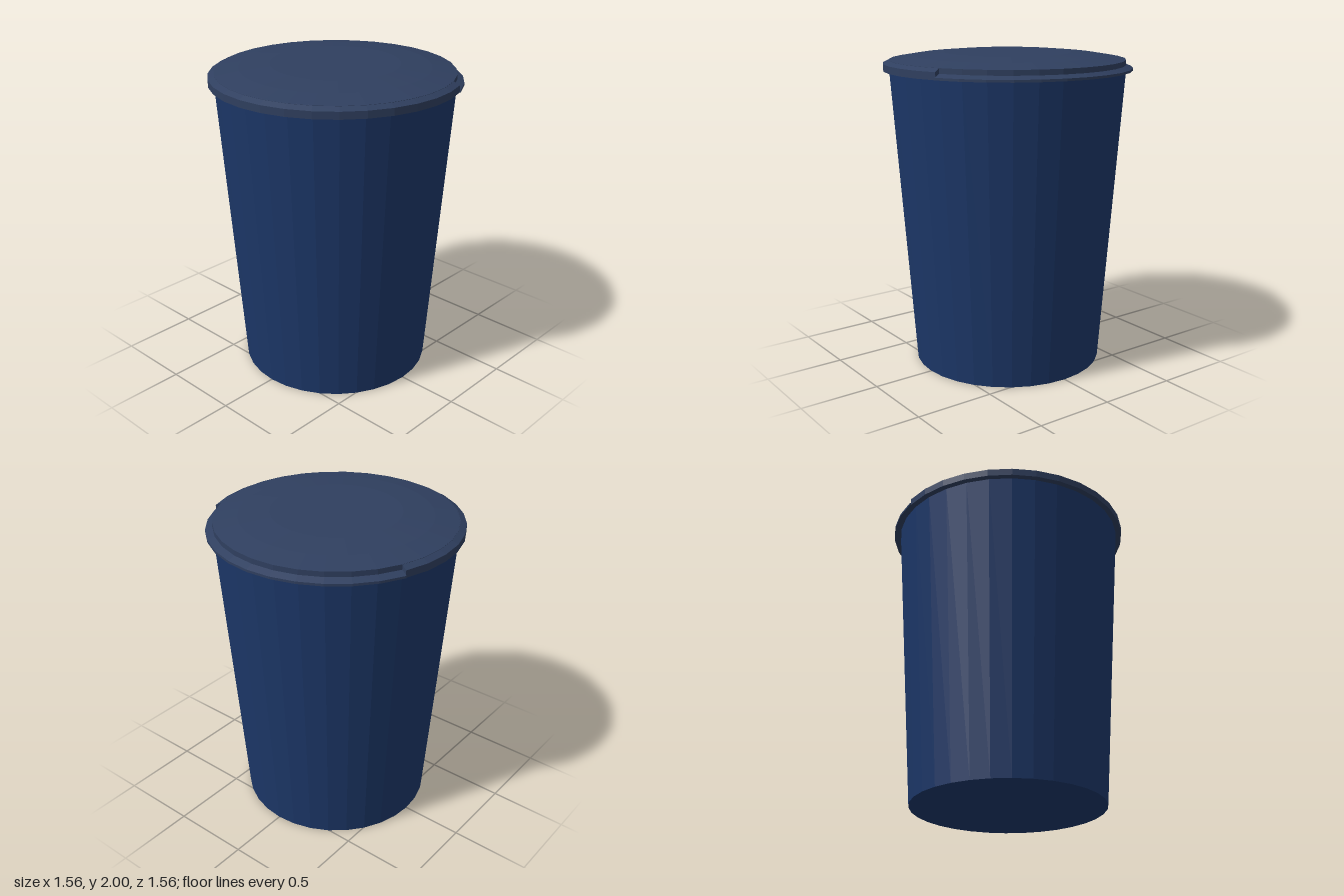
import * as THREE from 'three';

const SIDES = 32;
const rad = THREE.MathUtils.degToRad;

export function createModel() {
  const model = new THREE.Group();
  model.name = 'lidded bin';

  const paint = (color) =>
    new THREE.MeshStandardMaterial({ color, flatShading: true, side: THREE.DoubleSide });
  const bodyPaint = paint(0x1c3768);
  const lidPaint = paint(0x2f3f5f);

  const add = (name, geometry, material, parent = model) => {
    const mesh = new THREE.Mesh(geometry, material);
    mesh.name = name;
    parent.add(mesh);
    return mesh;
  };

  const toPoints = (profile) => profile.map(([r, y]) => new THREE.Vector2(r, y));

  // Turned solid around the vertical axis
  const turn = (profile) => new THREE.LatheGeometry(toPoints(profile), SIDES);

  // Closed section swept over part of the circle, with both ends capped
  const arc = (name, profile, startDeg, endDeg) => {
    const group = new THREE.Group();
    group.name = name;
    const pts = toPoints(profile);
    const steps = Math.round((endDeg - startDeg) / (360 / SIDES));
    add(name + 'Band', new THREE.LatheGeometry([...pts, pts[0].clone()], steps,
      rad(startDeg), rad(endDeg - startDeg)), lidPaint, group);
    for (const deg of [startDeg, endDeg]) {
      const cap = new THREE.ShapeGeometry(new THREE.Shape(pts));
      cap.rotateY(rad(deg - 90));
      add(name + 'End', cap, lidPaint, group);
    }
    model.add(group);
  };

  // Tapered container with a flat base
  add('body', turn([[0, 0], [0.605, 0], [0.742, 1.9]]), bodyPaint);

  // Shallow stepped dome of the lid
  add('lid', turn([
    [0, 1.9], [0.74, 1.9], [0.74, 1.955], [0.59, 1.98], [0.4, 1.998], [0, 2],
  ]), lidPaint);

  // Overhanging lip around the front and sides
  arc('lidLip', [[0.735, 1.89], [0.778, 1.89], [0.778, 1.935], [0.735, 1.956]], -112.5, 112.5);

  // Lower fixed ledge behind the lid
  arc('backLedge', [[0.735, 1.89], [0.784, 1.89], [0.784, 1.905], [0.735, 1.925]], 112.5, 247.5);

  return model;
}
